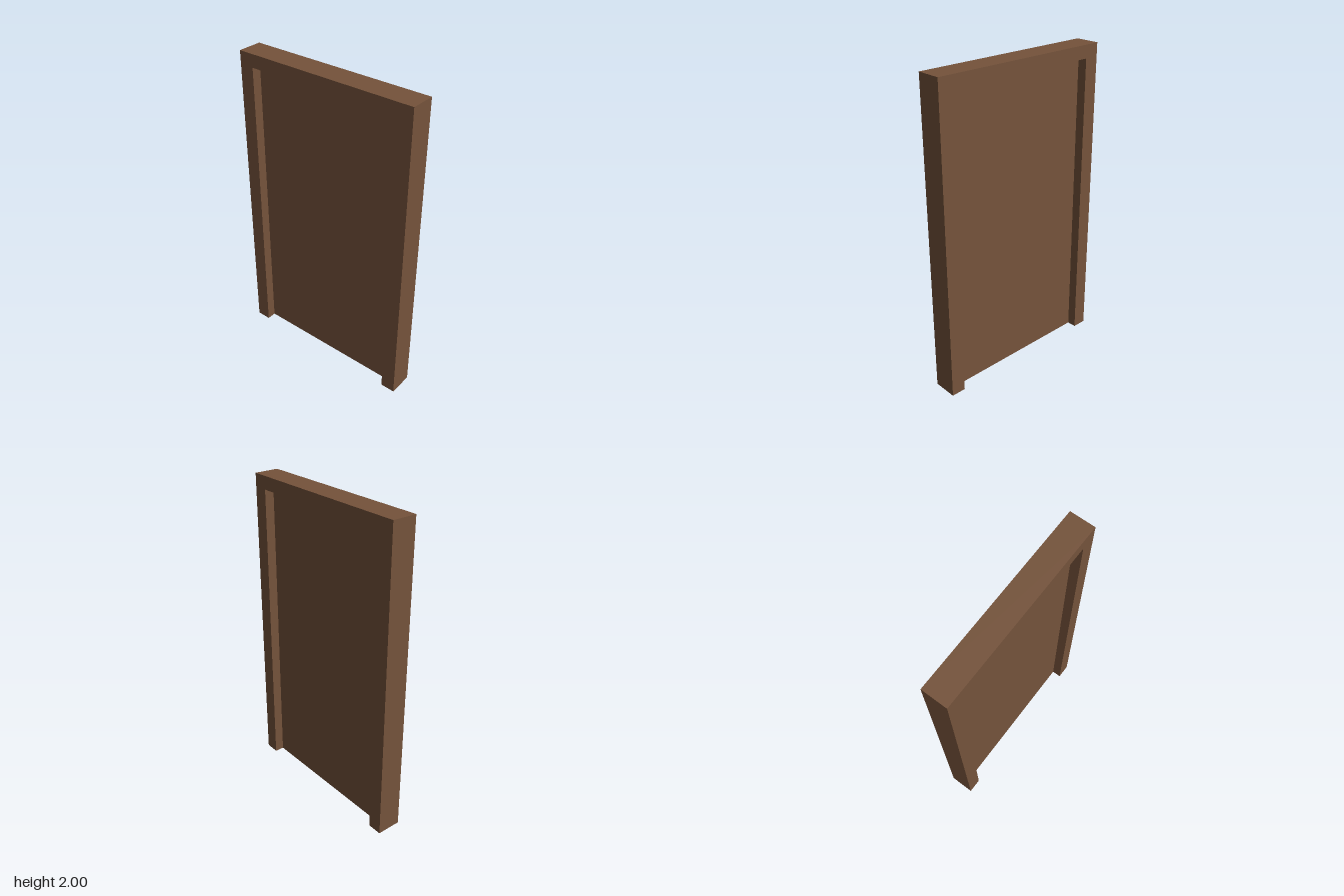
import * as THREE from 'three';

const HALF_W = 0.6, HEIGHT = 2, DEPTH = 0.158;           // outer frame
const OPEN_W = 0.506, OPEN_H = 1.917, PANEL_DEPTH = 0.036; // door opening

export function createModel() {
  const group = new THREE.Group();
  group.name = 'door';

  const wood = new THREE.MeshStandardMaterial({ color: 0x75533b });
  wood.name = 'brown wood';

  // Frame: two jambs and a header in one piece, open at the floor
  const outline = new THREE.Shape([
    [-HALF_W, 0], [-OPEN_W, 0], [-OPEN_W, OPEN_H], [OPEN_W, OPEN_H],
    [OPEN_W, 0], [HALF_W, 0], [HALF_W, HEIGHT], [-HALF_W, HEIGHT],
  ].map(([x, y]) => new THREE.Vector2(x, y)));
  const frameGeometry = new THREE.ExtrudeGeometry(outline, { depth: DEPTH, bevelEnabled: false });
  frameGeometry.translate(0, 0, -DEPTH / 2);
  const frame = new THREE.Mesh(frameGeometry, wood);
  frame.name = 'frame';

  // Door panel: a thin slab recessed equally on both sides
  const panel = new THREE.Mesh(new THREE.BoxGeometry(OPEN_W * 2, OPEN_H, PANEL_DEPTH), wood);
  panel.name = 'doorPanel';
  panel.position.y = OPEN_H / 2;

  group.add(frame, panel);
  return group;
}
